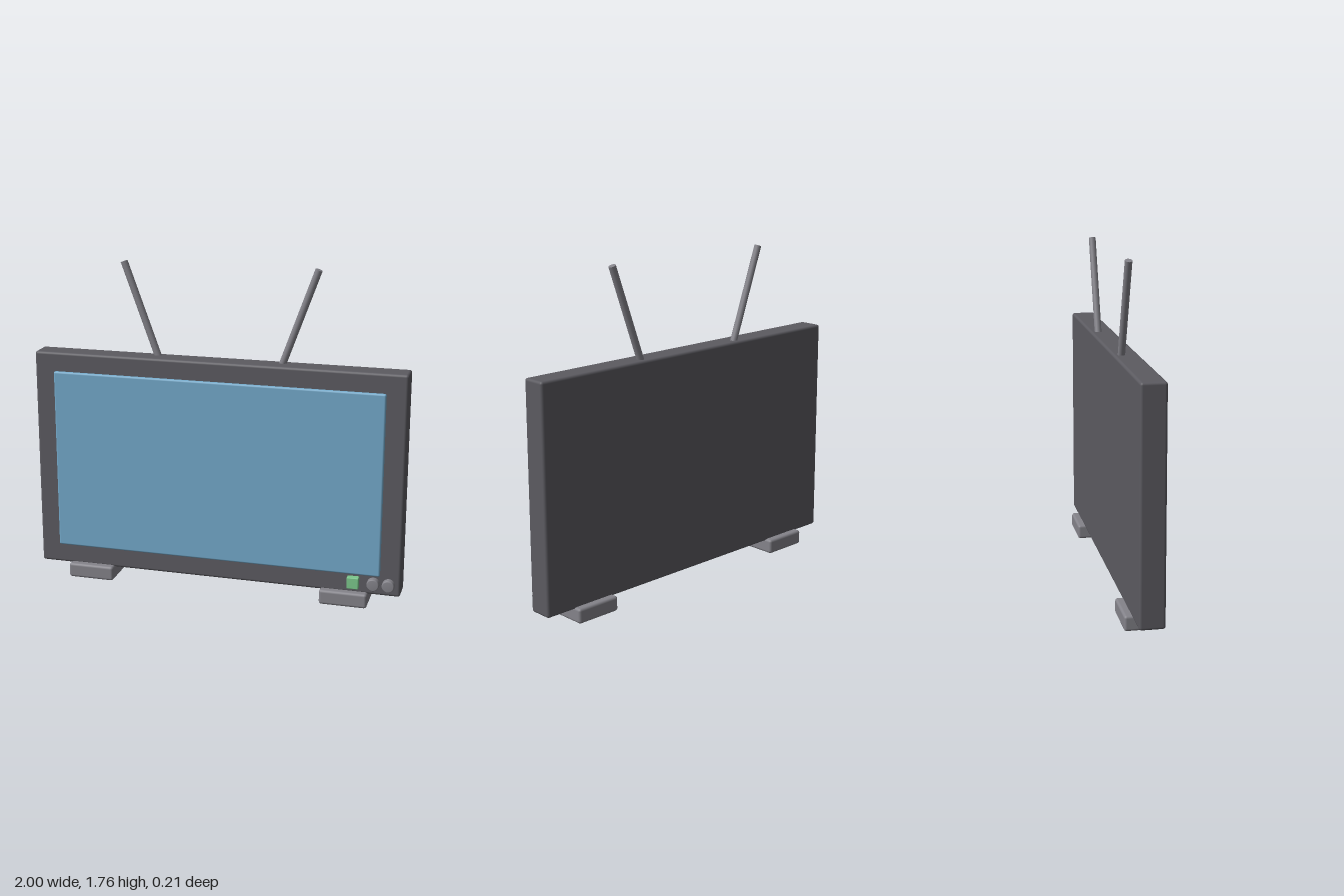
import * as THREE from 'three';
import { RoundedBoxGeometry } from 'three/addons/geometries/RoundedBoxGeometry.js';

const material = (name, color) => {
  const m = new THREE.MeshStandardMaterial({ color });
  m.name = name;
  return m;
};

export function createModel() {
  const casing = material('casing charcoal', 0x5c5b61);
  const trim = material('trim grey', 0x84838a);
  const glass = material('screen blue', 0x74aacb);
  const green = material('button green', 0x7cc88c);

  const model = new THREE.Group();
  model.name = 'television';

  const add = (name, geometry, mat, x, y, z) => {
    const mesh = new THREE.Mesh(geometry, mat);
    mesh.name = name;
    mesh.position.set(x, y, z);
    model.add(mesh);
    return mesh;
  };
  const box = (w, h, d, r) => new RoundedBoxGeometry(w, h, d, 2, r);

  // Casing and the slightly raised screen
  add('casing', box(2, 1.195, 0.13, 0.014), casing, 0, 0.6675, 0);
  add('screen', box(1.785, 0.985, 0.06, 0.01), glass, 0, 0.67, 0.05);

  // Feet and aerials, mirrored left and right
  const footGeometry = box(0.255, 0.08, 0.206, 0.014);
  const bottom = new THREE.Vector2(0.32, 1.215);
  const tip = new THREE.Vector2(0.517, 1.756);
  const span = tip.clone().sub(bottom);
  const aerialGeometry = new THREE.CylinderGeometry(0.019, 0.019, span.length(), 12);
  for (const [side, s] of [['left', 1], ['right', -1]]) {
    add(side + 'Foot', footGeometry, trim, s * 0.703, 0.04, 0);
    const aerial = add(side + 'Aerial', aerialGeometry, trim,
      s * (bottom.x + tip.x) / 2, (bottom.y + tip.y) / 2, -0.025);
    aerial.rotation.z = -s * Math.atan2(span.x, span.y);
  }

  // Power button
  add('powerButton', box(0.062, 0.062, 0.06, 0.004), green, 0.753, 0.135, 0.07);

  // Two round knobs with softened front rims
  const r = 0.033;
  const profile = [[r, 0], [r, 0.043], [r - 0.002, 0.047], [r - 0.006, 0.05], [0, 0.05]]
    .map(([x, y]) => new THREE.Vector2(x, y));
  const knobGeometry = new THREE.LatheGeometry(profile, 24).rotateX(Math.PI / 2);
  for (const [name, x] of [['innerKnob', 0.859], ['outerKnob', 0.939]]) {
    add(name, knobGeometry, trim, x, 0.135, 0.05);
  }

  return model;
}
